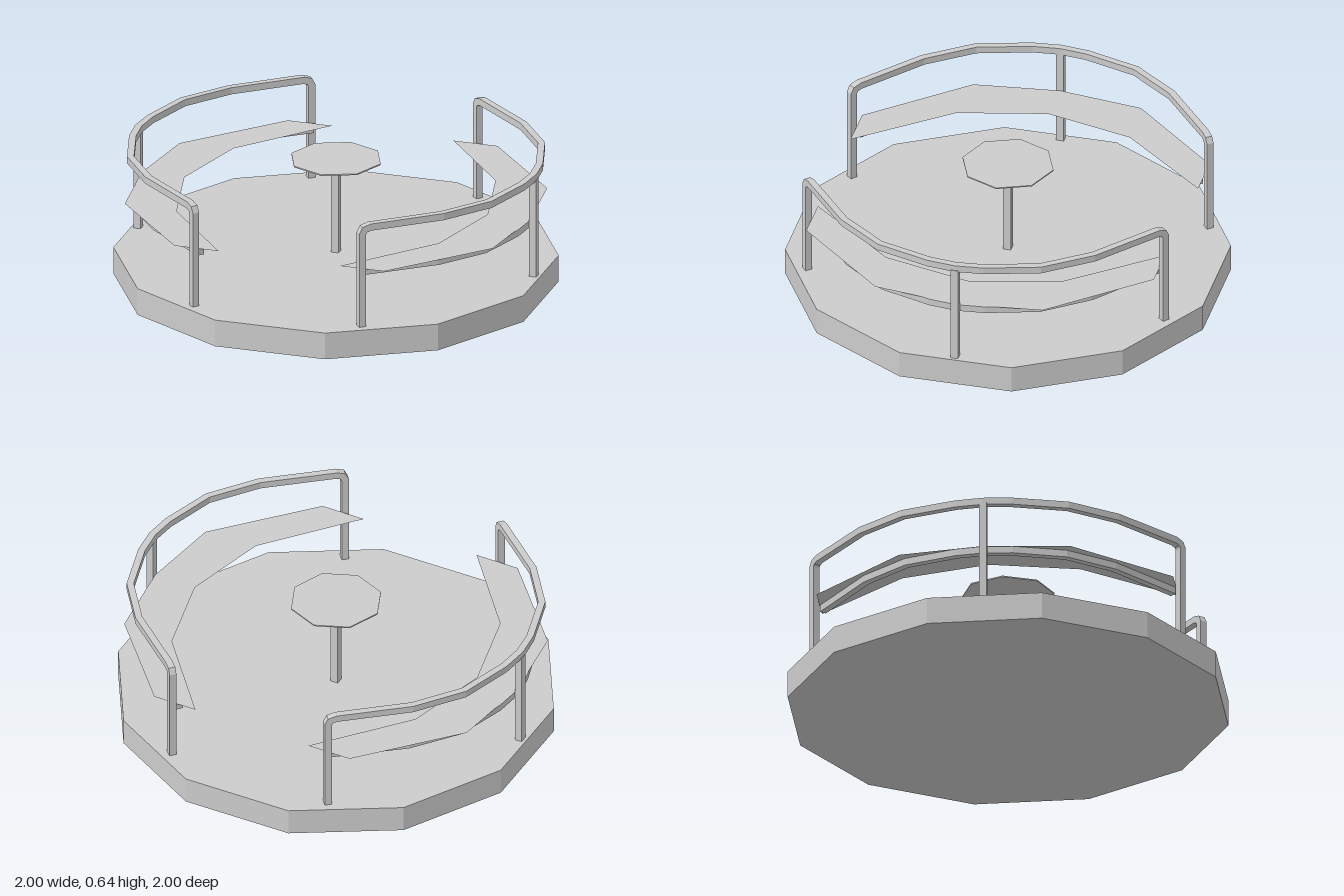
import * as THREE from 'three';

const steel = new THREE.MeshStandardMaterial({ color: 0xcccccc, flatShading: true, side: THREE.DoubleSide });
steel.name = 'plain grey';

const V = (x, y, z) => new THREE.Vector3(x, y, z);

function part(name, geometry, parent, x = 0, y = 0, z = 0) {
  const mesh = new THREE.Mesh(geometry, steel);
  mesh.name = name;
  mesh.position.set(x, y, z);
  parent.add(mesh);
  return mesh;
}

// Square bar swept along a polyline, mitred at the bends and kept upright
function barGeometry(points, half) {
  const last = points.length - 1;
  const at = i => points[Math.min(Math.max(i, 0), last)];
  const rings = points.map((p, i) => {
    const into = p.clone().sub(at(i - 1)).normalize();
    const out = at(i + 1).clone().sub(p).normalize();
    const t = into.clone().add(out).normalize();
    let h = at(i + 1).clone().sub(at(i - 1)).setY(0);
    if (h.length() < 1e-4) h = at(i + 2).clone().sub(at(i - 2)).setY(0);
    const n = h.normalize().cross(V(0, 1, 0)).multiplyScalar(half);
    const mitre = 1 / t.dot(i < last ? out : into);
    const u = n.clone().cross(t).multiplyScalar(mitre);
    return [[1, 1], [-1, 1], [-1, -1], [1, -1]].map(([a, b]) =>
      p.clone().addScaledVector(n, a).addScaledVector(u, b));
  });
  const tris = [];
  const quad = (a, b, c, d) => tris.push(a, b, c, a, c, d);
  for (let i = 0; i < last; i++) {
    for (let k = 0; k < 4; k++) {
      const m = (k + 1) % 4;
      quad(rings[i][k], rings[i + 1][k], rings[i + 1][m], rings[i][m]);
    }
  }
  quad(...rings[0]);
  quad(...rings[last].slice().reverse());
  const geometry = new THREE.BufferGeometry().setFromPoints(tris);
  geometry.computeVertexNormals();
  return geometry;
}

// Repeats a half profile of [x, z] points on the other side of z = 0
const mirrorZ = half => [...half, ...half.slice(0, -1).reverse().map(([x, z]) => [x, -z])];

// One bench: bent handrail with legs, middle post, seat rail and seat
function createBench(name) {
  const bench = new THREE.Group();
  bench.name = name;

  const legUp = [V(0.407, 0.12, 0.852), V(0.407, 0.59, 0.852), V(0.415, 0.61, 0.845), V(0.438, 0.619, 0.826)];
  const arc = mirrorZ([[0.715, 0.595], [0.873, 0.383], [0.947, 0.13], [0.961, 0]])
    .map(([x, z]) => V(x, 0.619, z));
  const legDown = legUp.slice().reverse().map(p => V(p.x, p.y, -p.z));
  part('handrail', barGeometry([...legUp, ...arc, ...legDown], 0.0165), bench);

  part('middlePost', new THREE.BoxGeometry(0.034, 0.49, 0.036), bench, 0.963, 0.365, 0);

  const support = mirrorZ([[0.385, 0.815], [0.685, 0.575], [0.842, 0.37], [0.915, 0.13], [0.929, 0]])
    .map(([x, z]) => V(x, 0.386, z));
  part('seatRail', barGeometry(support, 0.0165), bench);

  const outer = mirrorZ([[0.51, 0.83], [0.895, 0.4], [0.945, 0]]);
  const inner = mirrorZ([[0.295, 0.83], [0.638, 0.415], [0.738, 0]]).reverse();
  const seat = new THREE.Shape([...outer, ...inner].map(([x, z]) => new THREE.Vector2(x, z)));
  part('seat', new THREE.ShapeGeometry(seat).rotateX(-Math.PI / 2), bench, 0, 0.405, 0);
  return bench;
}

export function createModel() {
  const model = new THREE.Group();
  model.name = 'merryGoRound';

  // Twelve-sided turning platform
  const platform = part('platform', new THREE.CylinderGeometry(1.03, 1.03, 0.13, 12), model, 0, 0.065, 0);
  platform.rotation.y = Math.PI / 12 + 0.01;

  // Centre post with the octagonal hand table
  part('centrePost', new THREE.BoxGeometry(0.036, 0.46, 0.036), model, 0, 0.355, 0);
  part('handTable', new THREE.CylinderGeometry(0.217, 0.217, 0.006, 8), model, 0, 0.588, 0);

  // Two facing benches
  const left = createBench('leftBench');
  const right = createBench('rightBench');
  right.rotation.y = Math.PI;
  model.add(left, right);
  return model;
}
